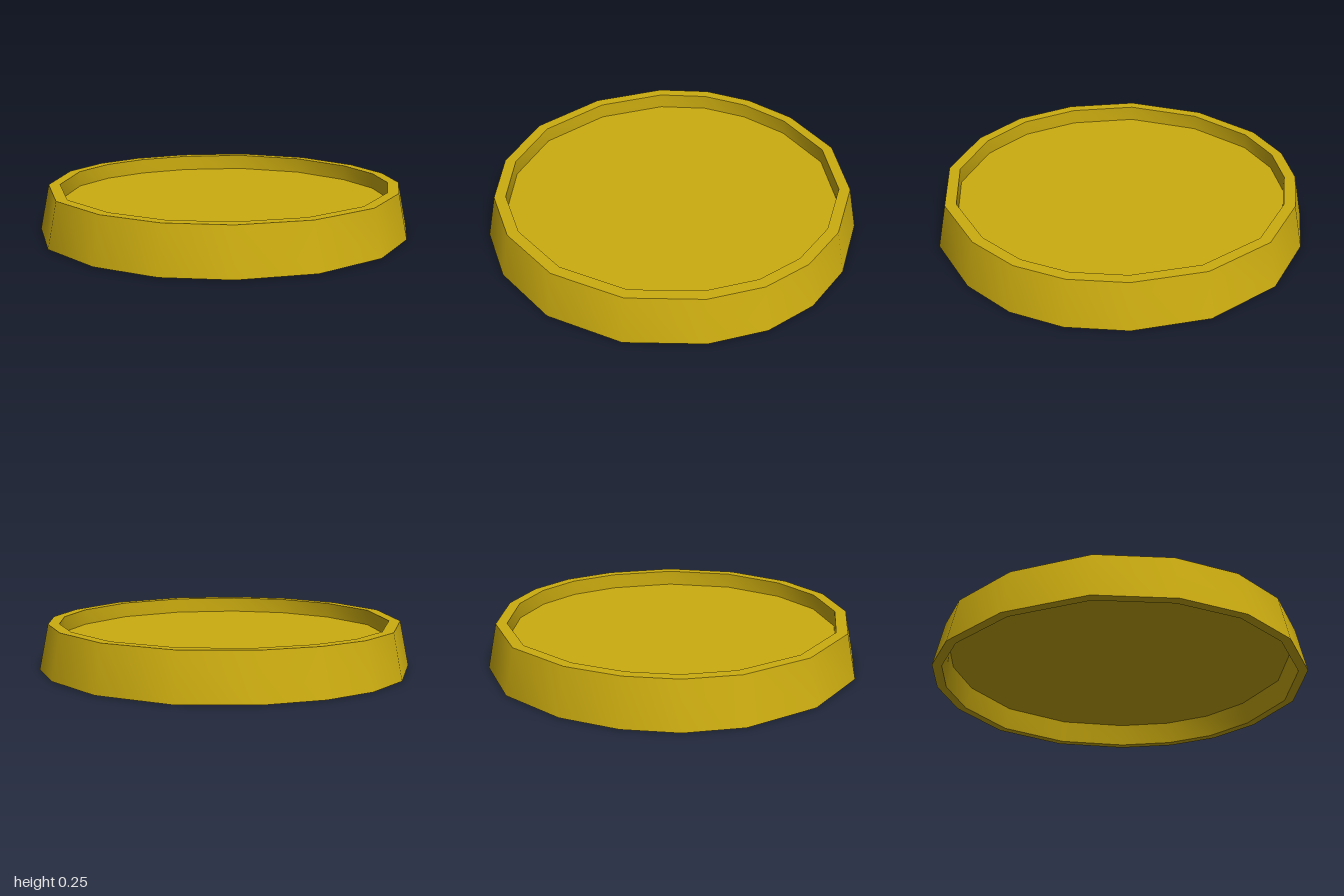
import * as THREE from 'three';
import { toCreasedNormals } from 'three/addons/utils/BufferGeometryUtils.js';

// Irregular 17-sided footprint at ground level, as [x, z]
const OUTLINE = [
  [-0.19, -1], [0.1, -1], [0.41, -0.91], [0.74, -0.68], [0.95, -0.31], [0.99, 0.09],
  [0.92, 0.4], [0.77, 0.65], [0.53, 0.85], [0.15, 1], [-0.27, 0.98], [-0.63, 0.8],
  [-0.87, 0.54], [-1, 0.2], [-1, -0.21], [-0.8, -0.62], [-0.48, -0.9],
];

// Sweeps a profile of [outline scale, height] steps around the footprint
function sweep(profile) {
  const positions = [];
  const point = ([s, y], j) => {
    const [x, z] = OUTLINE[j % OUTLINE.length];
    return [x * s, y, z * s];
  };
  for (let i = 0; i < profile.length - 1; i++) {
    const from = profile[i], to = profile[i + 1];
    for (let j = 0; j < OUTLINE.length; j++) {
      const a = point(from, j), b = point(from, j + 1);
      const c = point(to, j + 1), d = point(to, j);
      // a scale of 0 is the centre, where one triangle vanishes
      if (to[0] > 0) positions.push(...a, ...d, ...c);
      if (from[0] > 0) positions.push(...a, ...c, ...b);
    }
  }
  const geometry = new THREE.BufferGeometry();
  geometry.setAttribute('position', new THREE.Float32BufferAttribute(positions, 3));
  return toCreasedNormals(geometry, 0.65);
}

export function createModel() {
  const model = new THREE.Group();
  model.name = 'shallowTray';
  const material = new THREE.MeshStandardMaterial({ color: 0xccac10 });

  const parts = {
    // tapered wall: hollow underside, foot, outer face, lip, inner face
    wall: [[0.92, 0.12], [0.95, 0], [1, 0], [0.95, 0.245], [0.89, 0.245], [0.89, 0.16]],
    // recessed floor seen from above
    floor: [[0.89, 0.16], [0, 0.16]],
    // bottom of the floor inside the hollow foot
    underside: [[0, 0.12], [0.92, 0.12]],
  };
  for (const [name, profile] of Object.entries(parts)) {
    const mesh = new THREE.Mesh(sweep(profile), material);
    mesh.name = name;
    model.add(mesh);
  }
  return model;
}
